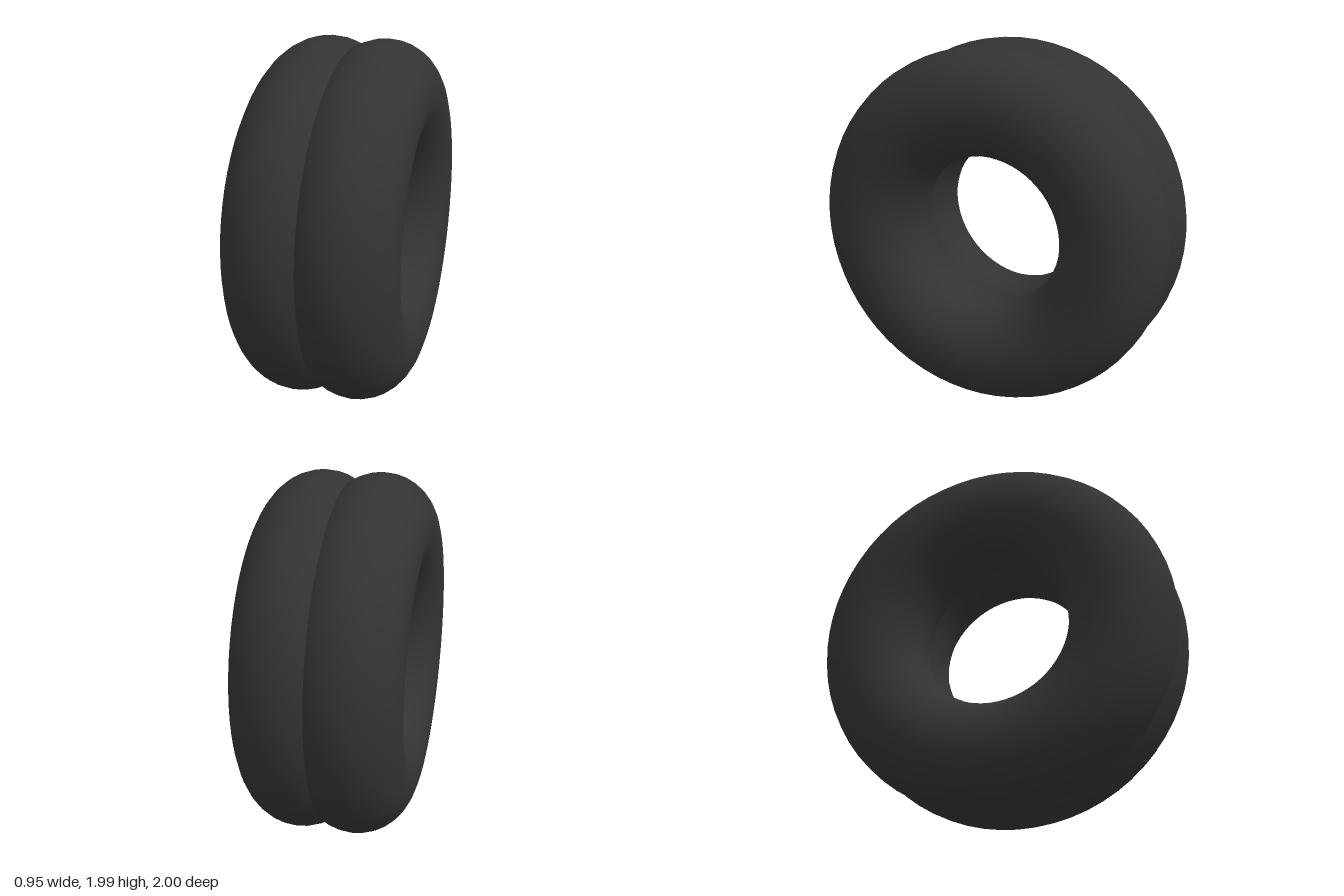
import * as THREE from 'three';

// Two fat rings side by side, overlapping and each leaning slightly
export function createModel() {
  const group = new THREE.Group();
  group.name = 'doubleRing';
  const material = new THREE.MeshStandardMaterial({ color: 0x333333 });
  const ringRadius = 0.707;
  const tubeRadius = 0.289;

  const addRing = (name, x, z, lean) => {
    const ring = new THREE.Mesh(
      new THREE.TorusGeometry(ringRadius, tubeRadius, 32, 64),
      material
    );
    ring.name = name;
    // Axis along x, with the front edge leaning towards +x
    ring.rotation.y = lean - Math.PI / 2;
    ring.position.set(x, 1, z);
    group.add(ring);
  };

  addRing('leftRing', 0.147, -0.005, 0.05);
  addRing('rightRing', -0.169, 0.004, 0.025);
  return group;
}
